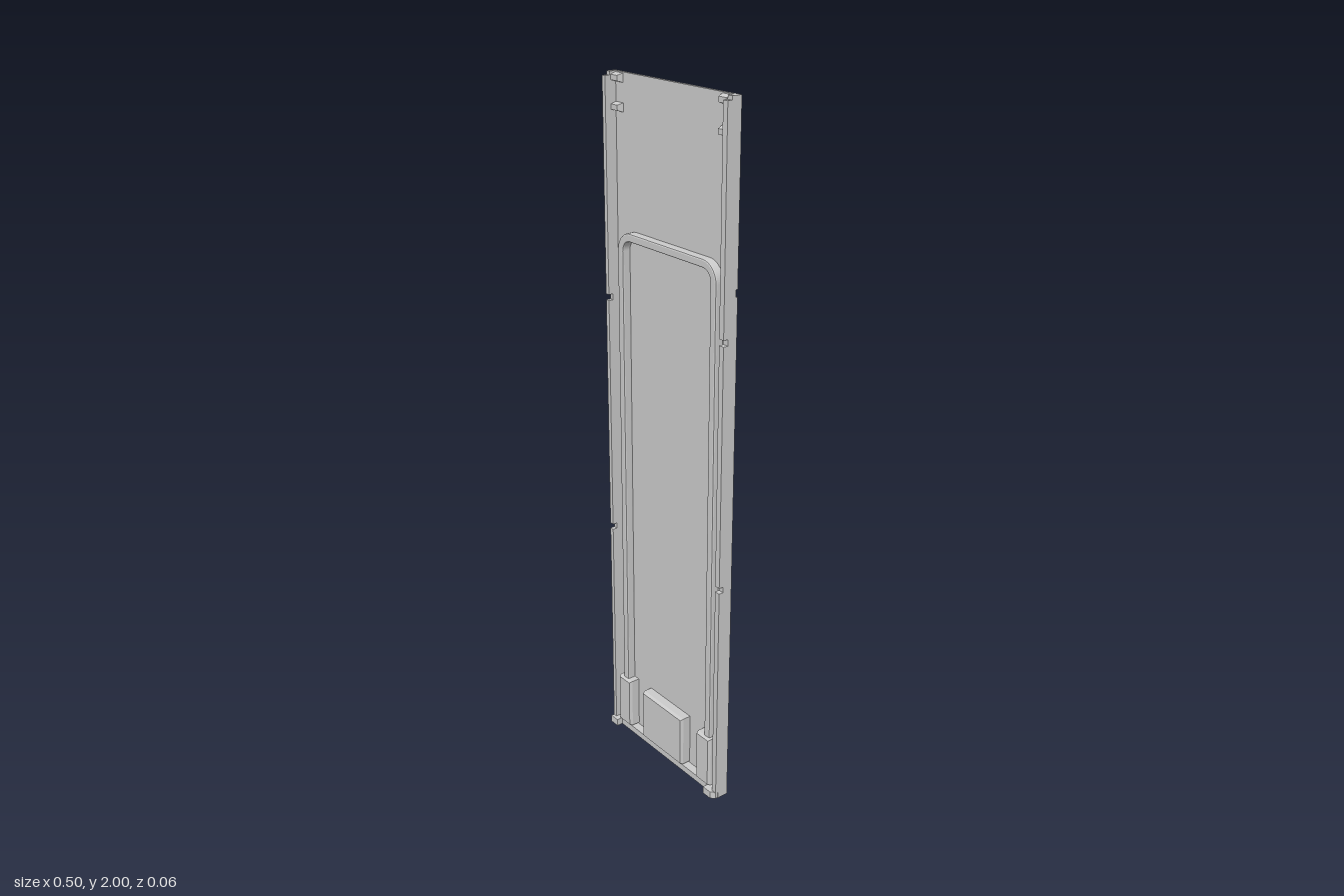
import * as THREE from 'three';

const material = new THREE.MeshStandardMaterial({ color: 0xcccccc, flatShading: true });

export function createModel() {
  const model = new THREE.Group();
  model.name = 'doorPanel';

  const add = (name, geometry) => {
    const mesh = new THREE.Mesh(geometry, material);
    mesh.name = name;
    model.add(mesh);
    return mesh;
  };

  // Box given by its limits on each axis
  const box = (name, x0, x1, y0, y1, z0, z1) => {
    const mesh = add(name, new THREE.BoxGeometry(x1 - x0, y1 - y0, z1 - z0));
    mesh.position.set((x0 + x1) / 2, (y0 + y1) / 2, (z0 + z1) / 2);
    return mesh;
  };

  // Box whose outer face (dir = +1 front, -1 back) is drawn in by a bevel
  const pad = (name, x0, x1, y0, y1, z0, z1, dir, bevel) => {
    const mesh = box(name, x0, x1, y0, y1, z0, z1);
    const p = mesh.geometry.attributes.position;
    for (let i = 0; i < p.count; i++) {
      if (p.getZ(i) * dir > 0) {
        p.setX(i, p.getX(i) - Math.sign(p.getX(i)) * bevel);
        p.setY(i, p.getY(i) - Math.sign(p.getY(i)) * bevel);
      }
    }
    mesh.geometry.computeVertexNormals();
    return mesh;
  };

  const back = -0.026, face = -0.017;

  // Main sheet, with a shallow groove across the back
  box('lowerSheet', -0.25, 0.25, 0, 1.51, back, face);
  box('upperSheet', -0.25, 0.25, 1.53, 2, back, face);
  box('grooveFloor', -0.25, 0.25, 1.51, 1.53, -0.021, face);
  for (let i = 0; i < 16; i++) {
    const x = -0.18 + i * 0.024;
    box('grooveTooth', x - 0.004, x + 0.004, 1.51, 1.516, back, -0.021);
  }

  // Side flanges and the notched rails in front of them
  const sides = [[-0.25, -0.237], [0.233, 0.25]];
  const runs = [[0.02, 0.683], [0.7, 1.388], [1.405, 1.99]];
  for (const [x0, x1] of sides) {
    box('sideFlange', x0, x1, 0, 2, face, 0.003);
    for (const [y0, y1] of runs) box('sideRail', x0, x1, y0, y1, 0.003, 0.017);
  }

  // Pressed clips on both faces
  for (const [x0, x1] of [[-0.242, -0.205], [0.19, 0.228]]) {
    for (const y of [1.985, 1.91]) pad('frontClip', x0, x1, y - 0.012, y + 0.012, face, -0.001, 1, 0.005);
    for (const y of [1.52, 1.14, 0.755]) pad('backClip', x0, x1, y - 0.013, y + 0.013, -0.031, -0.021, -1, 0.005);
  }

  // Raised rounded frame, open at the bottom
  const arch = (half, top, r) => {
    const s = new THREE.Path();
    s.moveTo(-half, 0.02);
    s.lineTo(-half, top - r);
    s.absarc(-half + r, top - r, r, Math.PI, Math.PI / 2, true);
    s.lineTo(half - r, top);
    s.absarc(half - r, top - r, r, Math.PI / 2, 0, true);
    s.lineTo(half, 0.02);
    return s.getPoints(8);
  };
  const frame = new THREE.Shape([...arch(0.202, 1.587, 0.05), ...arch(0.187, 1.572, 0.035).reverse()]);
  add('raisedFrame', new THREE.ExtrudeGeometry(frame, {
    depth: 0.019, bevelEnabled: true, bevelThickness: 0.005, bevelSize: 0.004, bevelSegments: 2,
  })).position.z = -0.016;

  // Blocks along the lower edge
  for (const [x0, x1] of [[-0.22, -0.163], [-0.1, 0.088], [0.157, 0.215]]) {
    box('lowerBlock', x0, x1, 0.025, 0.185, face, 0.008);
    pad('blockFace', x0, x1, 0.025, 0.185, 0.008, 0.017, 1, 0.004);
  }

  // Sill and its two projecting feet
  box('sill', -0.25, 0.25, 0, 0.02, face, 0.008);
  const foot = (x0, x1, outer) => {
    const c = 0.012;
    const s = new THREE.Shape();
    s.moveTo(x0, 0);
    s.lineTo(x1, 0);
    s.lineTo(x1, outer > 0 ? 0.027 - c : 0.027);
    s.lineTo(outer > 0 ? x1 - c : x1, 0.027);
    s.lineTo(x0, 0.027);
    const mesh = add('foot', new THREE.ExtrudeGeometry(s, { depth: 0.022, bevelEnabled: false }));
    mesh.rotation.x = Math.PI / 2;
    mesh.position.y = 0.022;
  };
  foot(-0.25, -0.219, -1);
  foot(0.204, 0.248, 1);

  return model;
}
